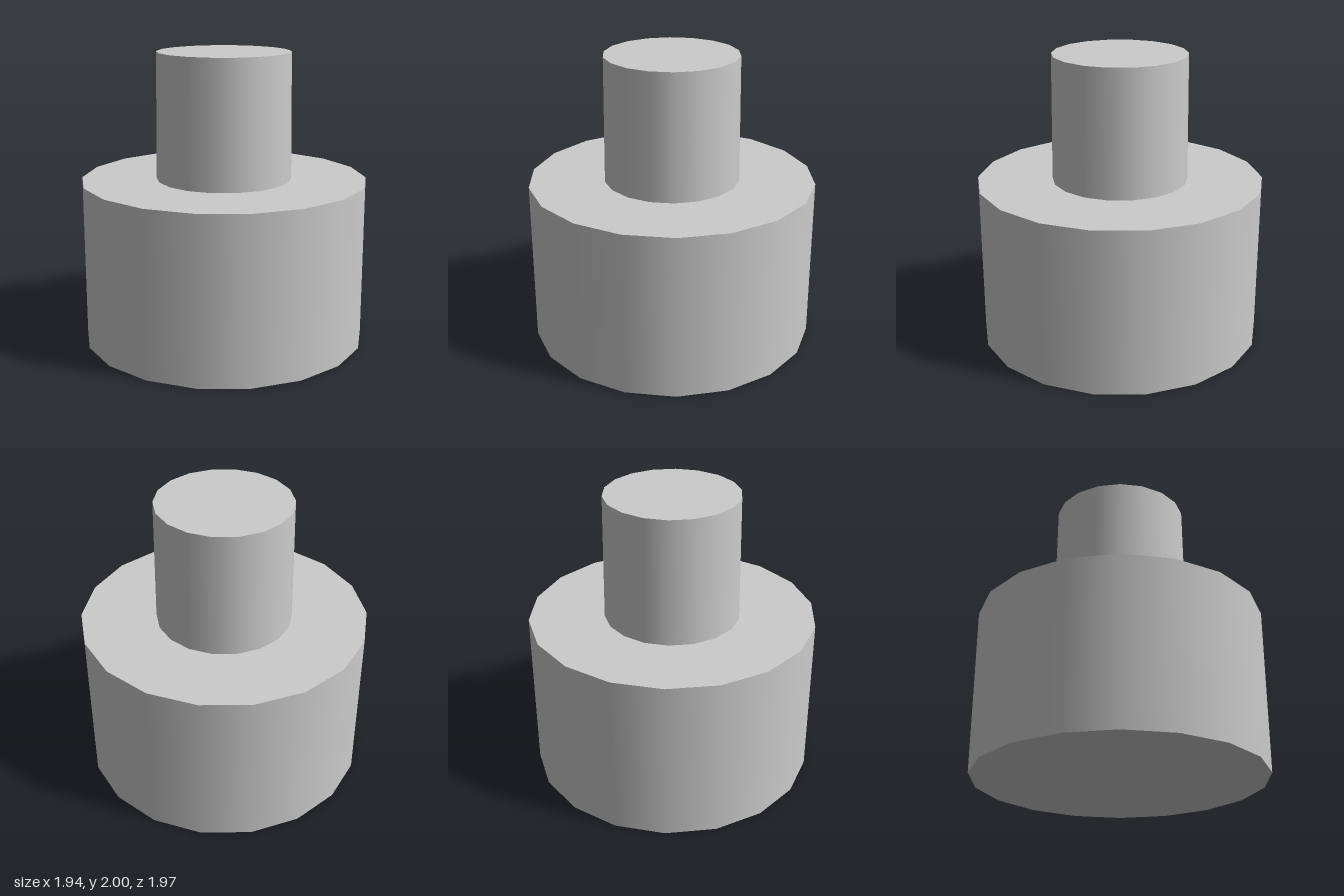
import * as THREE from 'three';

const SIDES = 18;
const BASE_HEIGHT = 1.13;
const TOTAL_HEIGHT = 2;

export function createModel() {
  const group = new THREE.Group();
  const material = new THREE.MeshStandardMaterial({ color: 0xcccccc });

  // Solid cylinder standing between two heights, smooth sides and sharp rims
  function addCylinder(name, topRadius, bottomRadius, y0, y1) {
    const geometry = new THREE.CylinderGeometry(topRadius, bottomRadius, y1 - y0, SIDES);
    const mesh = new THREE.Mesh(geometry, material);
    mesh.name = name;
    mesh.position.y = (y0 + y1) / 2;
    group.add(mesh);
  }

  // Wide straight base
  addCylinder('base', 0.984, 0.984, 0, BASE_HEIGHT);
  // Slightly tapered neck on top
  addCylinder('neck', 0.457, 0.467, BASE_HEIGHT, TOTAL_HEIGHT);

  return group;
}
